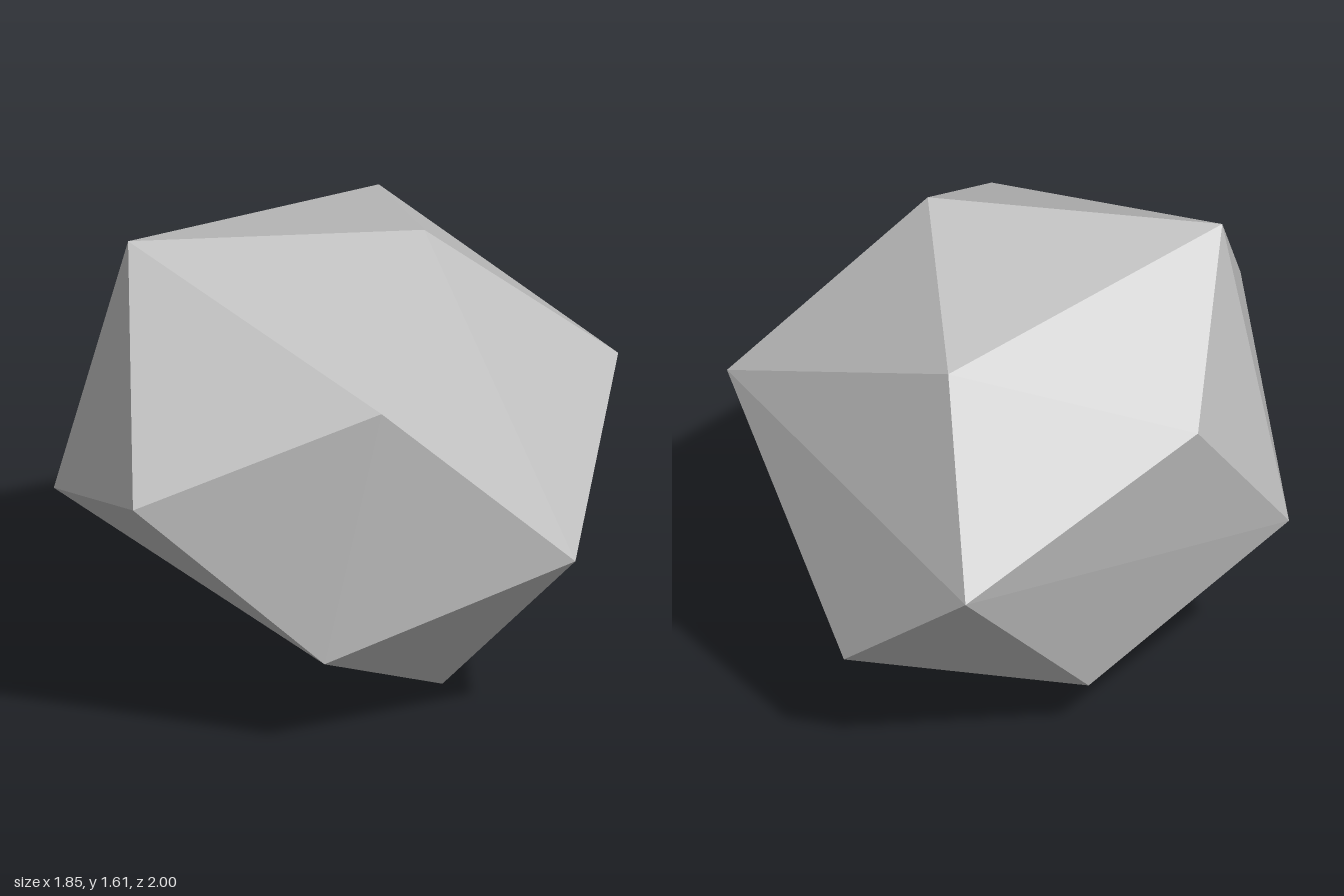
import * as THREE from 'three';
import { ConvexGeometry } from 'three/addons/geometries/ConvexGeometry.js';

// Corners of the faceted stone, from top to bottom
const CORNERS = [
  [0.25, 1.61, -0.04], [-0.62, 1.57, 0.36], [-0.20, 1.42, -0.67],
  [0.40, 1.26, 0.62], [-0.86, 1.15, -0.20], [0.72, 1.06, -0.52],
  [-0.31, 0.94, 1.0], [-0.46, 0.80, -1.0], [0.92, 0.68, 0.25],
  [-0.93, 0.59, 0.26], [0.05, 0.38, -0.91], [0.22, 0.355, 0.67],
  [-0.55, 0.18, -0.37], [0.31, 0, -0.05],
];

export function createModel() {
  const group = new THREE.Group();
  group.name = 'facetedStone';

  const stoneGrey = new THREE.MeshStandardMaterial({ color: 0xc0c0c0 });
  stoneGrey.name = 'stoneGrey';
  stoneGrey.flatShading = true;

  // The stone is the convex hull of its corners
  const points = CORNERS.map((c) => new THREE.Vector3(...c));
  const stone = new THREE.Mesh(new ConvexGeometry(points), stoneGrey);
  stone.name = 'stone';
  group.add(stone);

  return group;
}
